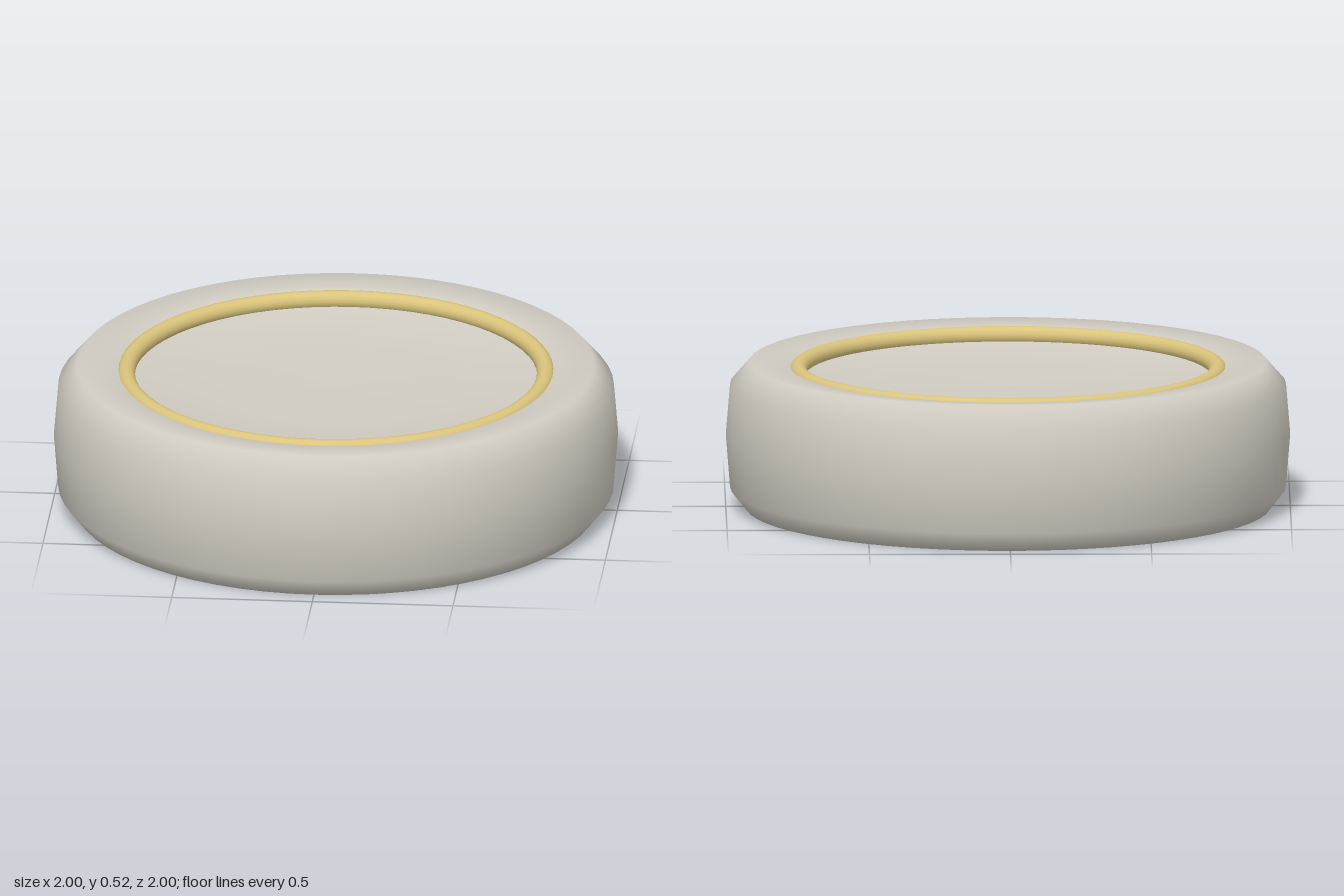
import * as THREE from 'three';

export function createModel() {
  const group = new THREE.Group();
  const stone = new THREE.MeshStandardMaterial({ color: 0xd0ccc2 });
  stone.name = 'warm grey';
  const gold = new THREE.MeshStandardMaterial({ color: 0xdac47c });
  gold.name = 'pale gold';

  // Round body: flat base, softly bevelled wall, rim and shallow dished top
  const profile = [
    [0, 0], [0.93, 0], [0.985, 0.07], [1, 0.26], [0.985, 0.44],
    [0.915, 0.52], [0.775, 0.506], [0.71, 0.46], [0.4, 0.442], [0, 0.432],
  ].map(([r, y]) => new THREE.Vector2(r, y));
  const body = new THREE.Mesh(new THREE.LatheGeometry(profile, 64), stone);
  body.name = 'body';
  group.add(body);

  // Gold ring set into the inner edge of the rim
  const ringGeometry = new THREE.TorusGeometry(0.744, 0.032, 16, 64);
  ringGeometry.rotateX(-Math.PI / 2);
  const ring = new THREE.Mesh(ringGeometry, gold);
  ring.name = 'rimRing';
  ring.position.y = 0.486;
  group.add(ring);

  return group;
}
